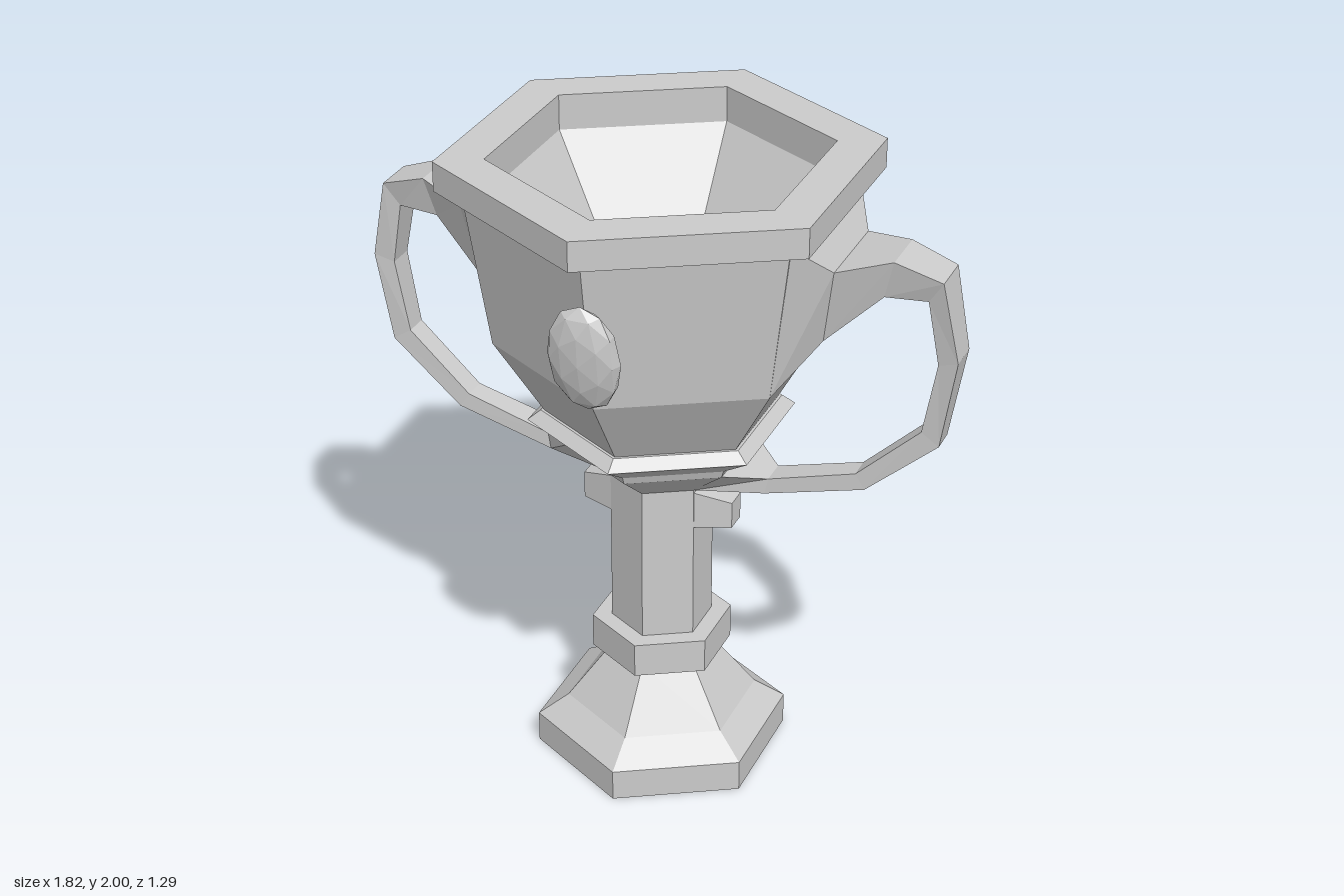
import * as THREE from 'three';

const material = new THREE.MeshStandardMaterial({ color: 0xcccccc, flatShading: true });

function addMesh(parent, geometry, name) {
  const mesh = new THREE.Mesh(geometry, material);
  mesh.name = name;
  parent.add(mesh);
  return mesh;
}

// Six-sided turned part with corners on +z and -z; profile is [radius, y] from bottom to top
function hexLathe(profile) {
  const g = new THREE.LatheGeometry(profile.map(([r, y]) => new THREE.Vector2(r, y)), 6).toNonIndexed();
  g.computeVertexNormals();
  return g;
}

// Four-sided bar through sections [outer x, y, half depth, inner x, y, half depth]
function loft(sections, capEnd) {
  const position = [], index = [];
  for (const [xo, yo, zo, xi, yi, zi] of sections) {
    position.push(xo, yo, zo, xo, yo, -zo, xi, yi, -zi, xi, yi, zi);
  }
  for (let s = 0; s < sections.length - 1; s++) {
    for (let k = 0; k < 4; k++) {
      const a = s * 4 + k, b = s * 4 + (k + 1) % 4;
      index.push(a, a + 4, b + 4, a, b + 4, b);
    }
  }
  if (capEnd) {
    const e = (sections.length - 1) * 4;
    index.push(e, e + 2, e + 1, e, e + 3, e + 2);
  }
  let g = new THREE.BufferGeometry();
  g.setAttribute('position', new THREE.Float32BufferAttribute(position, 3));
  g.setIndex(index);
  g = g.toNonIndexed();
  g.computeVertexNormals();
  return g;
}

export function createModel() {
  const group = new THREE.Group();
  group.name = 'trophyCup';

  // Foot, stem and stem ring
  addMesh(group, hexLathe([[0, 0], [0.39, 0], [0.39, 0.1], [0.295, 0.165], [0.155, 0.345]]), 'foot');
  addMesh(group, hexLathe([[0.155, 0.345], [0.215, 0.345], [0.215, 0.455], [0.155, 0.455]]), 'stemRing');
  addMesh(group, hexLathe([[0.155, 0.455], [0.155, 0.96]]), 'stem');

  // Hollow bowl with collar and rim
  addMesh(group, hexLathe([
    [0.155, 0.96], [0.285, 1.065], [0.295, 1.09], [0.4, 1.16], [0.36, 1.19], [0.35, 1.19],
    [0.495, 1.42], [0.57, 1.91], [0.645, 1.91], [0.645, 2],
    [0.5, 2], [0.5, 1.89], [0.285, 1.6], [0, 1.6],
  ]), 'bowl');

  // Handle flares out of the bowl, loops down and merges under the collar
  const handle = loft([
    [0.49, 1.91, 0.285, 0.428, 1.42, 0.247],
    [0.57, 1.79, 0.145, 0.53, 1.55, 0.1],
    [0.72, 1.82, 0.08, 0.69, 1.7, 0.06],
    [0.86, 1.775, 0.066, 0.815, 1.705, 0.05],
    [0.91, 1.53, 0.052, 0.85, 1.51, 0.042],
    [0.865, 1.25, 0.04, 0.81, 1.285, 0.037],
    [0.65, 1.06, 0.04, 0.62, 1.105, 0.037],
    [0.345, 0.98, 0.045, 0.355, 1.03, 0.042],
    [0.134, 0.96, 0.077, 0.245, 1.065, 0.14],
  ]);

  // Small tapered lug on the stem
  const lug = loft([
    [0.13, 0.95, 0.077, 0.13, 0.83, 0.077],
    [0.24, 0.915, 0.035, 0.24, 0.83, 0.035],
  ], true);

  for (const [side, turn] of [['left', 0], ['right', Math.PI]]) {
    addMesh(group, handle, side + 'Handle').rotation.y = turn;
    addMesh(group, lug, side + 'StemLug').rotation.y = turn;
  }

  // Faceted oval gems leaning with the bowl wall
  for (const [name, z] of [['frontGem', 0.55], ['backGem', -0.53]]) {
    const gem = addMesh(group, new THREE.IcosahedronGeometry(1, 1), name);
    gem.scale.set(0.11, 0.17, 0.048);
    gem.position.set(0, 1.607, z);
    gem.rotation.x = Math.sign(z) * 0.14;
  }
  return group;
}
